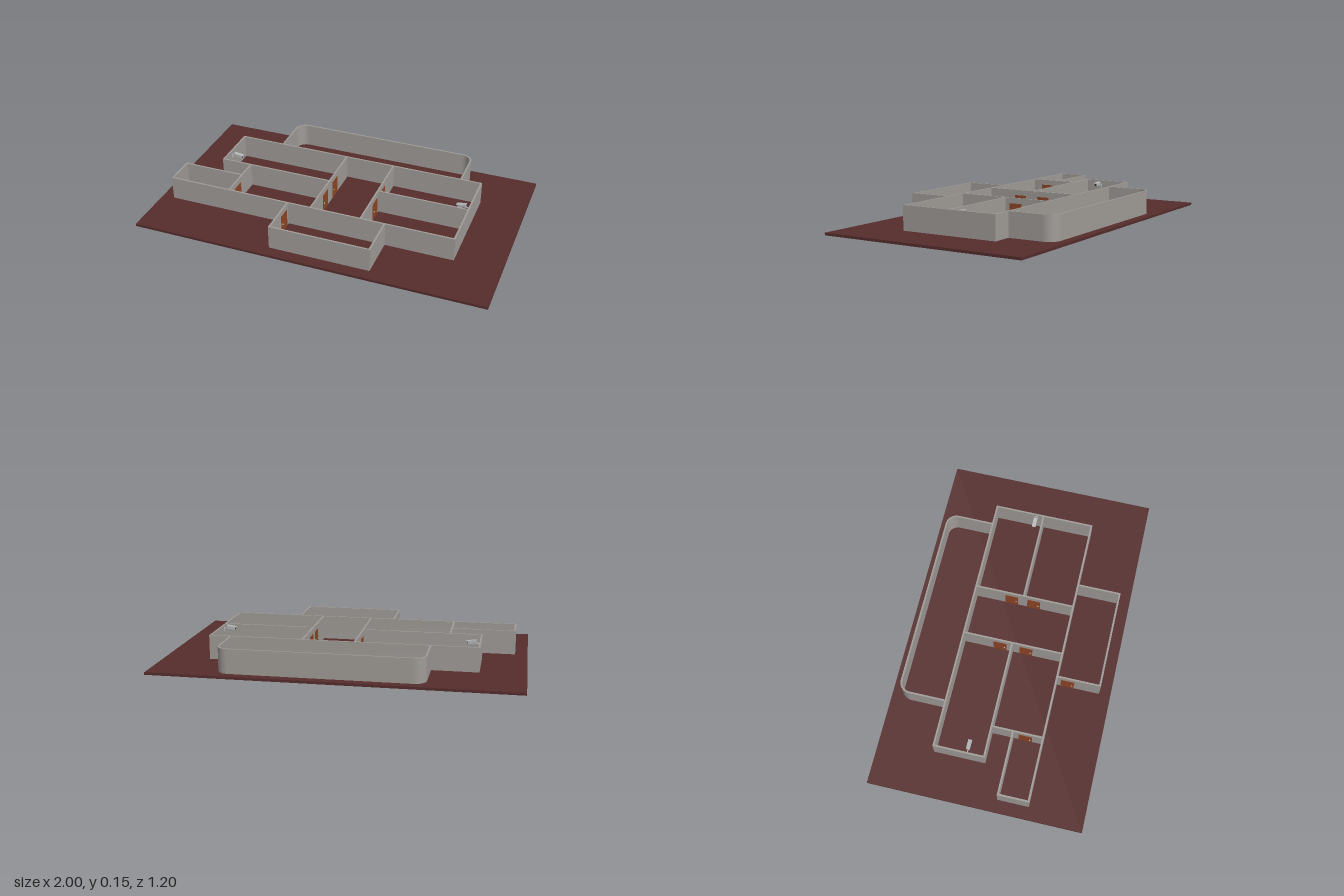
import * as THREE from 'three';

const FLOOR = 0.014, TOP = 0.15, T = 0.01;

export function createModel() {
  const model = new THREE.Group();
  model.name = 'floorPlan';

  const mat = (name, color) => {
    const m = new THREE.MeshStandardMaterial({ color });
    m.name = name;
    return m;
  };
  const ground = mat('darkRedGround', 0x552c2c);
  const plaster = mat('greyPlaster', 0x9f9b97);
  const wood = mat('doorWood', 0x8f4526);
  const metal = mat('lightMetal', 0xb4b6b8);
  const dark = mat('darkLens', 0x2a2a2c);

  const add = (parent, name, geometry, material, x = 0, y = 0, z = 0) => {
    const mesh = new THREE.Mesh(geometry, material);
    mesh.name = name;
    mesh.position.set(x, y, z);
    parent.add(mesh);
    return mesh;
  };

  // Ground slab
  add(model, 'ground', new THREE.BoxGeometry(2, FLOOR, 1.2), ground, 0, FLOOR / 2, 0);

  // Straight walls: centre line from (x1, z1) to (x2, z2)
  const walls = [
    [-0.745, -0.28, 0.735, -0.28],
    [-0.745, -0.28, -0.745, 0],
    [-0.745, 0, -0.08, 0],
    [-0.077, -0.28, -0.077, 0.287],
    [0.213, -0.28, 0.213, 0.287],
    [0.213, 0, 0.735, 0],
    [0.735, -0.28, 0.735, 0.287],
    [-0.925, 0.287, 0.735, 0.287],
    [-0.925, 0.12, -0.925, 0.287],
    [-0.925, 0.12, -0.57, 0.12],
    [-0.57, 0, -0.57, 0.287],
    [-0.213, 0.287, -0.213, 0.53],
    [-0.213, 0.53, 0.35, 0.53],
    [0.35, 0.287, 0.35, 0.53],
  ];
  const wallGroup = new THREE.Group();
  wallGroup.name = 'walls';
  model.add(wallGroup);
  for (const [x1, z1, x2, z2] of walls) {
    const g = new THREE.BoxGeometry(Math.abs(x2 - x1) + T, TOP - FLOOR, Math.abs(z2 - z1) + T);
    add(wallGroup, 'wall', g, plaster, (x1 + x2) / 2, (TOP + FLOOR) / 2, (z1 + z2) / 2);
  }

  // Rear bay: a U-shaped wall with rounded corners
  const [l, r, near, far, rad] = [-0.493, 0.623, 0.28, 0.55, 0.065];
  const bay = new THREE.Shape();
  bay.moveTo(l, near);
  bay.lineTo(l + T, near);
  bay.lineTo(l + T, far - rad);
  bay.absarc(l + rad, far - rad, rad - T, Math.PI, Math.PI / 2, true);
  bay.absarc(r - rad, far - rad, rad - T, Math.PI / 2, 0, true);
  bay.lineTo(r - T, near);
  bay.lineTo(r, near);
  bay.absarc(r - rad, far - rad, rad, 0, Math.PI / 2, false);
  bay.absarc(l + rad, far - rad, rad, Math.PI / 2, Math.PI, false);
  const bayGeometry = new THREE.ExtrudeGeometry(bay, {
    depth: TOP - FLOOR, bevelEnabled: false, curveSegments: 10,
  });
  bayGeometry.rotateX(-Math.PI / 2);
  add(wallGroup, 'roundedBayWall', bayGeometry, plaster, 0, FLOOR, 0);

  // Doors set through the walls that run front to back, with a knob on each side
  const doors = [
    [-0.57, 0.19], [-0.213, 0.35], [-0.077, 0.08],
    [-0.077, -0.07], [0.213, 0.06], [0.213, -0.07],
  ];
  for (const [x, z] of doors) {
    const door = new THREE.Group();
    door.name = 'door';
    door.position.set(x, FLOOR, z);
    add(door, 'doorLeaf', new THREE.BoxGeometry(T + 0.004, 0.105, 0.075), wood, 0, 0.0525, 0);
    for (const side of [-1, 1]) {
      add(door, 'doorKnob', new THREE.SphereGeometry(0.004, 10, 8), metal, side * 0.01, 0.05, 0.026);
    }
    model.add(door);
  }

  // Wall cameras, each reaching inwards from a side wall
  const wallCamera = (x, y, z, facing) => {
    const cam = new THREE.Group();
    cam.name = 'wallCamera';
    cam.position.set(x, y, z);
    cam.rotation.y = facing > 0 ? 0 : Math.PI;
    add(cam, 'mountPlate', new THREE.BoxGeometry(0.004, 0.024, 0.018), metal, 0.002, -0.012, 0);
    const arm = add(cam, 'mountArm', new THREE.CylinderGeometry(0.003, 0.003, 0.03, 8), metal, 0.015, -0.006, 0);
    arm.rotation.z = -1.1;
    const head = new THREE.Group();
    head.name = 'cameraHead';
    head.position.set(0.043, 0, 0);
    head.rotation.z = -0.15;
    add(head, 'cameraBody', new THREE.BoxGeometry(0.048, 0.016, 0.018), metal);
    add(head, 'cameraHood', new THREE.BoxGeometry(0.056, 0.003, 0.022), metal, 0.002, 0.009, 0);
    const lens = add(head, 'cameraLens', new THREE.CylinderGeometry(0.006, 0.006, 0.004, 14), dark, 0.025, 0, 0);
    lens.rotation.z = Math.PI / 2;
    cam.add(head);
    model.add(cam);
  };
  wallCamera(-0.74, 0.13, -0.095, 1);
  wallCamera(0.73, 0.138, -0.043, -1);

  return model;
}
